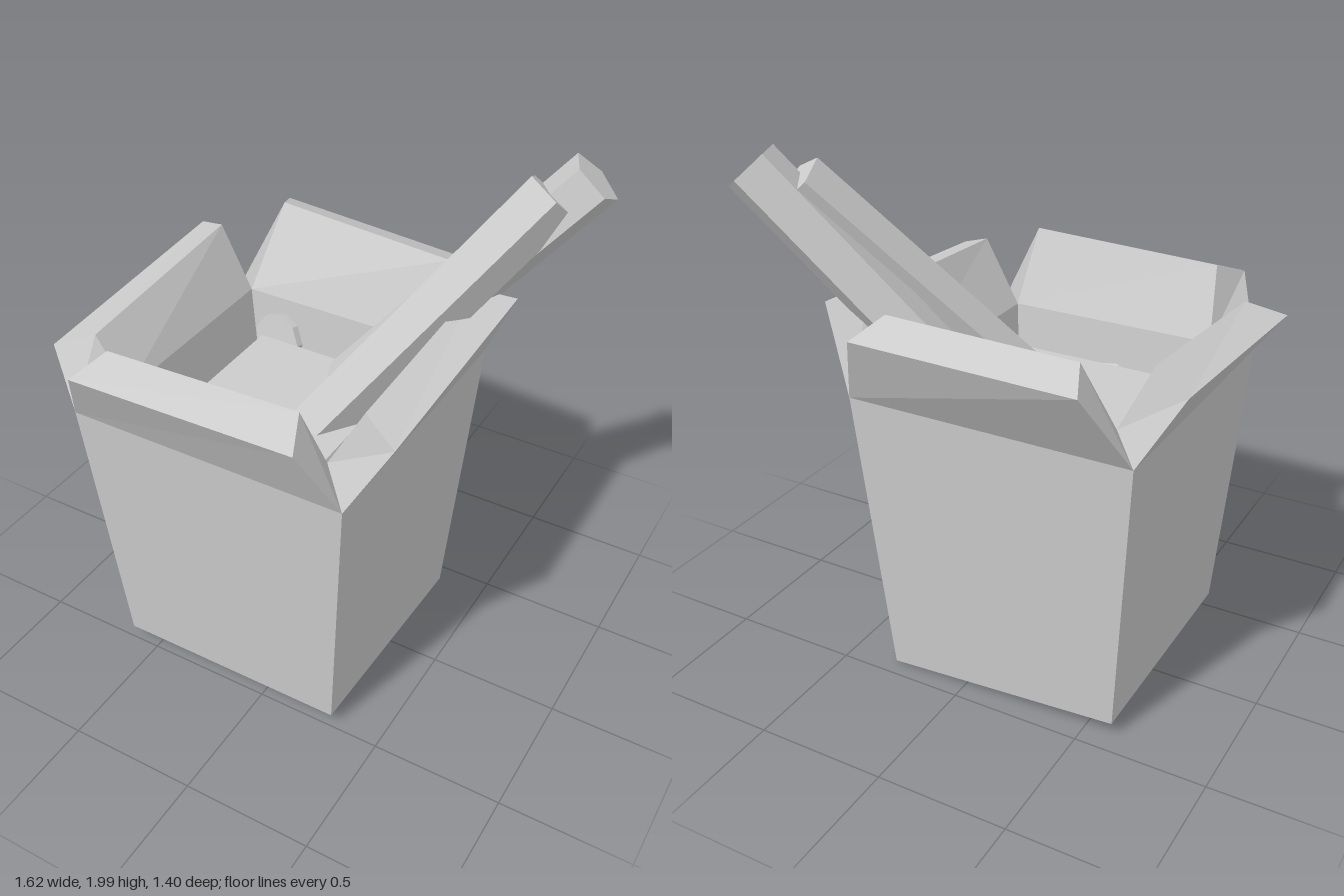
import * as THREE from 'three';

const material = new THREE.MeshStandardMaterial({ color: 0xcccccc, flatShading: true, side: THREE.DoubleSide });

// Builds a faceted mesh from four-cornered faces
function quadMesh(name, quads) {
  const positions = [];
  for (const [a, b, c, d] of quads) positions.push(...a, ...b, ...c, ...a, ...c, ...d);
  const geometry = new THREE.BufferGeometry();
  geometry.setAttribute('position', new THREE.Float32BufferAttribute(positions, 3));
  geometry.computeVertexNormals();
  const mesh = new THREE.Mesh(geometry, material);
  mesh.name = name;
  return mesh;
}

// Side walls between a lower and an upper ring of four corners
const band = (low, high) => low.map((p, i) => {
  const j = (i + 1) % 4;
  return [p, low[j], high[j], high[i]];
});

// Corner rings, in the order front left, front right, back right, back left as seen from the front
const ring = (x0, x1, y, z0, z1) => [[x0, y, z1], [x1, y, z1], [x1, y, z0], [x0, y, z0]];
const base = ring(-0.61, 0.31, 0.06, -0.43, 0.5);
base[2][1] = 0; // one corner of the bottom sags
const rim = ring(-0.69, 0.39, 1.15, -0.515, 0.577);
const innerRim = ring(-0.565, 0.25, 1.2, -0.375, 0.43);
const innerBase = ring(-0.525, 0.225, 0.9, -0.35, 0.4);
const fillingTop = ring(-0.46, 0.155, 1.07, -0.28, 0.335);

// Flap top corners seen from outside: outer start, outer end, inner start, inner end
const flaps = {
  frontFlap: [[-0.585, 1.4, 0.7], [0.285, 1.42, 0.7], [-0.525, 1.455, 0.56], [0.225, 1.48, 0.56]],
  leftFlap: [[0.525, 1.395, 0.49], [0.525, 1.455, -0.44], [0.385, 1.45, 0.425], [0.385, 1.49, -0.375]],
  backFlap: [[0.285, 1.43, -0.645], [-0.585, 1.45, -0.705], [0.225, 1.49, -0.51], [-0.525, 1.505, -0.57]],
  rightFlap: [[-0.83, 1.4, -0.44], [-0.83, 1.34, 0.49], [-0.69, 1.455, -0.37], [-0.69, 1.39, 0.425]],
};

// Five-sided stick from one point to another; ridge is +1 for an edge on top, -1 for a flat top
function stick(name, from, to, radius, ridge) {
  const start = new THREE.Vector3(...from), end = new THREE.Vector3(...to);
  const axis = end.clone().sub(start);
  const length = axis.length();
  axis.normalize();
  const up = new THREE.Vector3(0, ridge, 0).addScaledVector(axis, -ridge * axis.y).normalize();
  const side = axis.clone().cross(up);
  const geometry = new THREE.CylinderGeometry(radius, radius, length, 5);
  geometry.applyMatrix4(new THREE.Matrix4().makeBasis(side, axis, up));
  const mesh = new THREE.Mesh(geometry, material);
  mesh.name = name;
  mesh.position.copy(start).add(end).multiplyScalar(0.5);
  return mesh;
}

export function createModel() {
  const model = new THREE.Group();
  model.name = 'takeoutBox';

  // Tapered carton with its bottom and inner walls
  const innerWalls = band(innerBase, innerRim).map(([a, b, c, d]) => [b, a, d, c]);
  model.add(quadMesh('carton', [
    ...band(base, rim), ...innerWalls, [base[0], base[3], base[2], base[1]],
  ]));

  // Four thick flaps folded outward
  Object.entries(flaps).forEach(([name, [oL, oR, iL, iR]], i) => {
    const j = (i + 1) % 4;
    model.add(quadMesh(name, [
      [rim[i], rim[j], oR, oL],
      [oL, oR, iR, iL],
      [innerRim[j], innerRim[i], iL, iR],
      [rim[j], innerRim[j], iR, oR],
      [innerRim[i], rim[i], oL, iL],
    ]));
  });

  // Food with bevelled edges
  model.add(quadMesh('filling', [...band(innerBase, fillingTop), fillingTop]));

  // Slices poking out along the edges of the food: position, rotation, radius
  const slices = [
    [[-0.4, 1.05, -0.31], [1.3, 0.3, 0.2], 0.11],
    [[-0.2, 0.98, 0.375], [1.2, 0, -0.2], 0.09],
    [[0.21, 0.96, 0.28], [0.2, 0, 1.3], 0.06],
  ];
  slices.forEach(([position, rotation, radius], i) => {
    const slice = new THREE.Mesh(new THREE.CylinderGeometry(radius, radius, 0.03, 9), material);
    slice.name = `foodSlice${i + 1}`;
    slice.position.set(...position);
    slice.rotation.set(...rotation);
    model.add(slice);
  });

  // Pair of chopsticks
  model.add(stick('frontChopstick', [-0.04, 0.98, 0.125], [0.6, 1.875, -0.455], 0.108, 1));
  model.add(stick('backChopstick', [-0.07, 0.98, -0.2], [0.72, 1.93, -0.535], 0.108, -1));

  return model;
}
